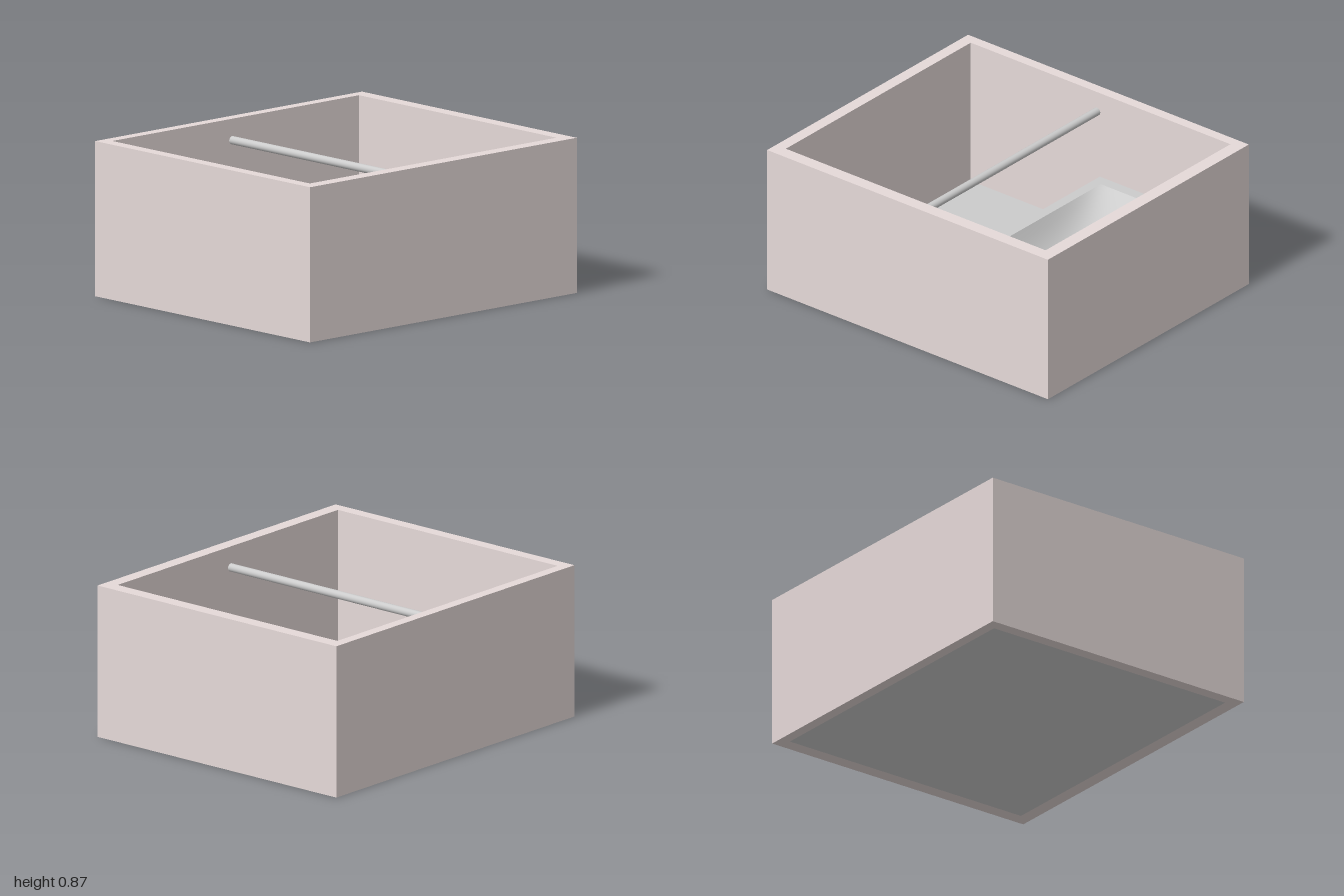
import * as THREE from 'three';

const grey = new THREE.MeshStandardMaterial({ color: 0xcccccc });
const greyDouble = new THREE.MeshStandardMaterial({ color: 0xcccccc, side: THREE.DoubleSide });
const wallPaint = new THREE.MeshStandardMaterial({ color: 0xe5d9d8 });

// Inside faces of the room and the tub opening
const X0 = -0.805, X1 = 0.79, Z0 = -0.92, Z1 = 0.93;
const RIM = 0.35;
const OPEN = { x0: -0.74, x1: 0.785, z0: -0.865, z1: -0.05 };

function add(parent, name, geometry, material) {
  const mesh = new THREE.Mesh(geometry, material);
  mesh.name = name;
  parent.add(mesh);
  return mesh;
}

// Box given by its two opposite corners
function boxBetween(x0, y0, z0, x1, y1, z1) {
  return new THREE.BoxGeometry(x1 - x0, y1 - y0, z1 - z0)
    .translate((x0 + x1) / 2, (y0 + y1) / 2, (z0 + z1) / 2);
}

function rectangle(PathType, x0, y0, x1, y1) {
  return new PathType([[x0, y0], [x1, y0], [x1, y1], [x0, y1]].map(p => new THREE.Vector2(...p)));
}

// Rounded bowl: steep by the rim, flat in the middle, shallow in the corners
function basinGeometry() {
  const w = OPEN.x1 - OPEN.x0, d = OPEN.z1 - OPEN.z0;
  const g = new THREE.PlaneGeometry(w, d, 48, 32).rotateX(-Math.PI / 2);
  const pos = g.attributes.position;
  for (let i = 0; i < pos.count; i++) {
    const u = pos.getX(i) / (w / 2), v = pos.getZ(i) / (d / 2);
    const along = 1 - Math.pow(Math.abs(u), u < 0 ? 2.8 : 4);
    const across = 1 - Math.pow(Math.abs(v), 3.5);
    pos.setY(i, -0.24 * along * across);
  }
  g.computeVertexNormals();
  return g.translate((OPEN.x0 + OPEN.x1) / 2, RIM, (OPEN.z0 + OPEN.z1) / 2);
}

export function createModel() {
  const model = new THREE.Group();
  model.name = 'bathroom';

  // Four walls as one hollow frame
  const outline = rectangle(THREE.Shape, -0.867, -1, 0.867, 1);
  outline.holes.push(rectangle(THREE.Path, X0, -Z1, X1, -Z0));
  const walls = new THREE.ExtrudeGeometry(outline, { depth: 0.87, bevelEnabled: false });
  add(model, 'walls', walls.rotateX(-Math.PI / 2), wallPaint);

  // Thin floor slab
  add(model, 'floor', boxBetween(X0, 0, Z0, X1, 0.008, Z1), grey);

  // Bathtub: front apron, ledges and the sunken basin
  const tub = new THREE.Group();
  tub.name = 'bathtub';
  add(tub, 'apron', boxBetween(X0, 0.008, OPEN.z1, X1, RIM, 0.01), grey);
  add(tub, 'backLedge', boxBetween(X0, 0.008, Z0, X1, RIM, OPEN.z0), grey);
  add(tub, 'leftLedge', boxBetween(X0, 0.008, OPEN.z0, OPEN.x0, RIM, OPEN.z1), grey);
  add(tub, 'rightLedge', boxBetween(OPEN.x1, 0.008, OPEN.z0, X1, RIM, OPEN.z1), grey);
  add(tub, 'basin', basinGeometry(), greyDouble);
  model.add(tub);

  // Shower curtain rod from wall to wall
  const rod = add(model, 'curtainRod', new THREE.CylinderGeometry(0.023, 0.023, X1 - X0, 24), grey);
  rod.rotation.z = Math.PI / 2;
  rod.position.set((X0 + X1) / 2, 0.75, 0.03);

  return model;
}
